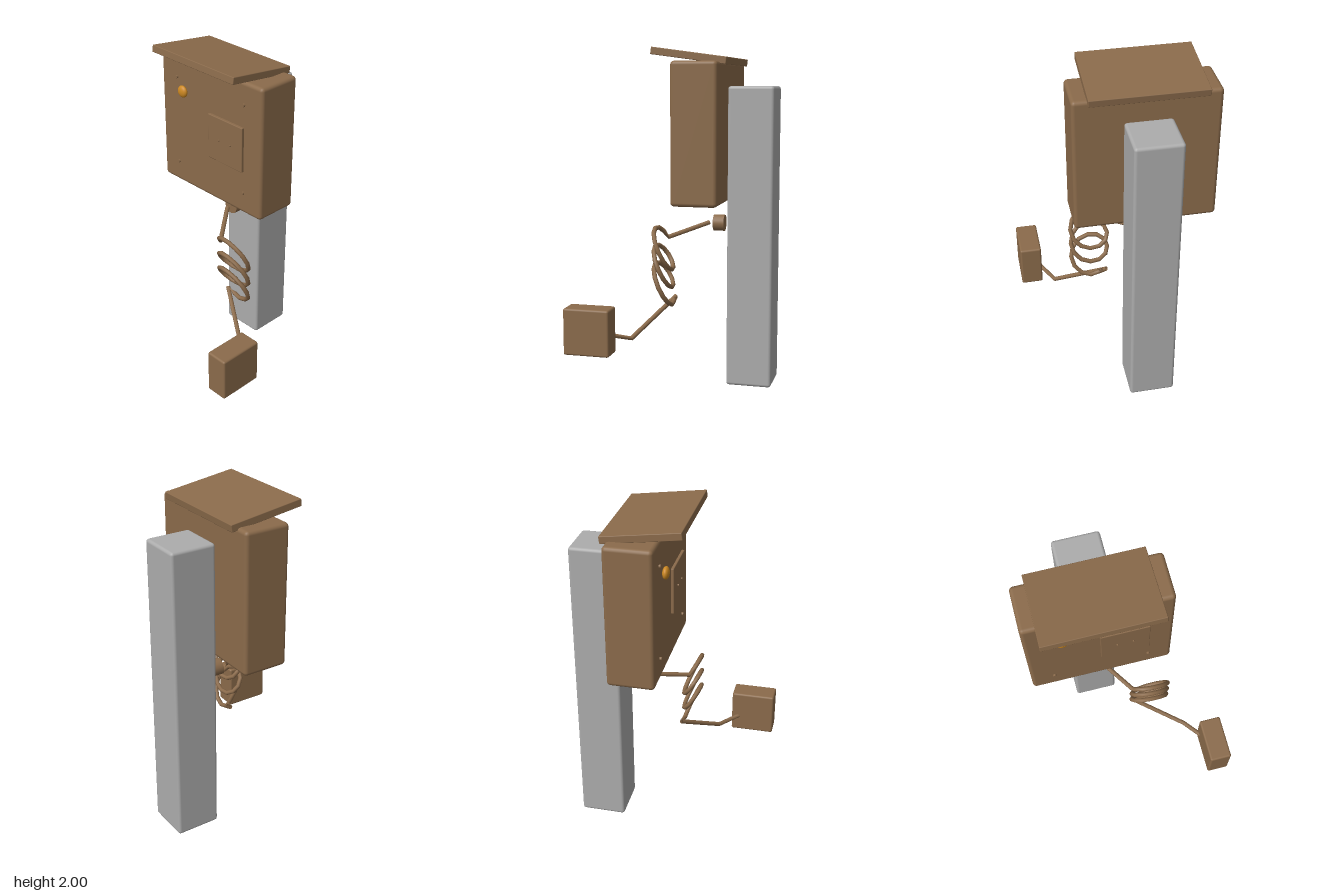
import * as THREE from 'three';
import { RoundedBoxGeometry } from 'three/addons/geometries/RoundedBoxGeometry.js';

const mat = (name, color) => Object.assign(new THREE.MeshStandardMaterial({ color }), { name });

// Curve through straight segments, sampled exactly at its corners
class Polyline extends THREE.Curve {
  constructor(points) { super(); this.points = points; }
  getPoint(t, target = new THREE.Vector3()) {
    const n = this.points.length - 1;
    const s = THREE.MathUtils.clamp(t, 0, 1) * n;
    const i = Math.min(Math.floor(s), n - 1);
    return target.lerpVectors(this.points[i], this.points[i + 1], s - i);
  }
  getPointAt(u, target) { return this.getPoint(u, target); }
  getTangentAt(u, target) { return this.getTangent(u, target); }
}

export function createModel() {
  const model = new THREE.Group();
  const brown = mat('brown', 0x8b6b4b);
  const grey = mat('grey', 0xacacac);
  const amber = mat('amber', 0xcc8822);

  const add = (name, geometry, material, x, y, z) => {
    const mesh = new THREE.Mesh(geometry, material);
    mesh.name = name;
    mesh.position.set(x, y, z);
    model.add(mesh);
    return mesh;
  };
  const disc = (radius, depth, sides) =>
    new THREE.CylinderGeometry(radius, radius, depth, sides).rotateX(Math.PI / 2);

  // Post, cabinet and sloping rain hood
  add('post', new RoundedBoxGeometry(0.27, 1.78, 0.27, 2, 0.018), grey, -0.14, 0.89, -0.41);
  add('cabinet', new RoundedBoxGeometry(0.815, 0.815, 0.27, 2, 0.022), brown, -0.138, 1.512, -0.136);
  add('hood', new RoundedBoxGeometry(0.65, 0.042, 0.44, 1, 0.004), brown, -0.14, 1.95, -0.086)
    .rotation.x = -0.135;

  // Front panel with two contact pins
  add('panel', new RoundedBoxGeometry(0.275, 0.275, 0.02, 1, 0.004), brown, -0.003, 1.512, 0.005);
  for (const x of [-0.048, 0.042]) add('panelPin', disc(0.006, 0.012, 8), brown, x, 1.512, 0.017);

  // Corner screws
  for (const x of [-0.413, 0.133])
    for (const y of [1.238, 1.786]) add('screw', disc(0.01, 0.014, 8), brown, x, y, 0.003);

  // Indicator lamp
  add('lamp', new THREE.SphereGeometry(0.036, 16, 12), amber, -0.345, 1.72, 0.02).scale.z = 0.55;

  // Cable outlet
  add('outlet', disc(0.049, 0.066, 16), brown, -0.14, 0.965, -0.203);

  // Coiled cord: lead-in, tilted spiral, lead-out to the plug
  const points = [new THREE.Vector3(-0.14, 0.965, -0.14)];
  for (let i = 0; i <= 33; i++) {
    const turns = i / 12;
    const a = Math.PI * (1 - 2 * turns);
    points.push(new THREE.Vector3(
      0.134 + 0.113 * Math.cos(a),
      0.892 - 0.105 * turns + 0.094 * Math.sin(a),
      0.072 + 0.05 * Math.sin(a)));
  }
  points.push(
    new THREE.Vector3(0.09, 0.522, 0.022),
    new THREE.Vector3(0.035, 0.54, 0.022),
    new THREE.Vector3(0.34, 0.347, 0.207),
    new THREE.Vector3(0.44, 0.39, 0.35));
  add('coiledCord', new THREE.TubeGeometry(new Polyline(points), points.length - 1, 0.0135, 8), brown, 0, 0, 0);

  // Plug
  add('plug', new RoundedBoxGeometry(0.133, 0.268, 0.268, 2, 0.012), brown, 0.478, 0.415, 0.411);

  return model;
}
